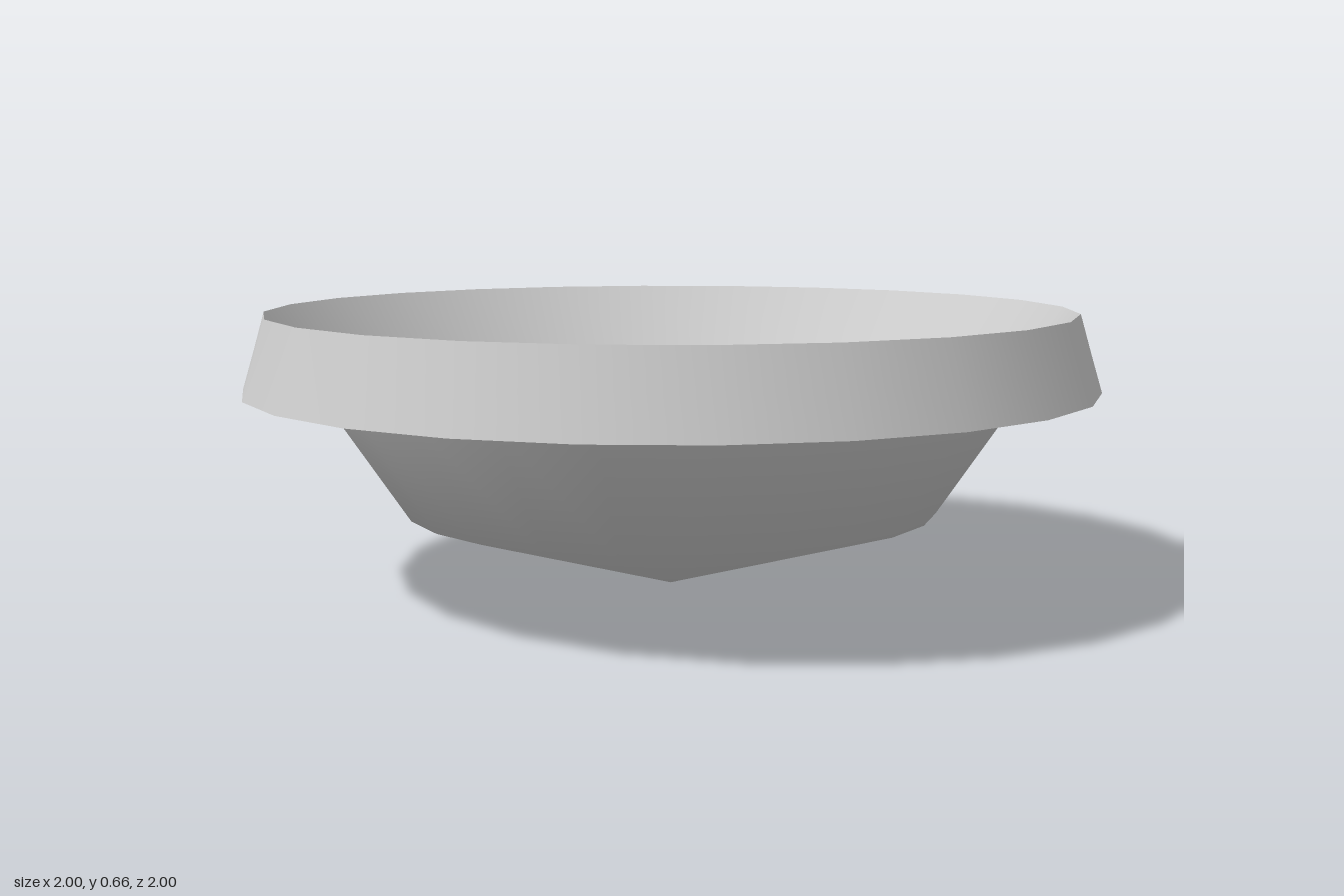
import * as THREE from 'three';

const SIDES = 24;

export function createModel() {
  const model = new THREE.Group();
  model.name = 'dish';
  const grey = new THREE.MeshStandardMaterial({ color: 0xcccccc });
  grey.name = 'light grey';

  // Each part is its own turned profile, so the edges between parts stay sharp
  const turn = (name, profile) => {
    const points = profile.map(([r, y]) => new THREE.Vector2(r, y));
    const mesh = new THREE.Mesh(new THREE.LatheGeometry(points, SIDES), grey);
    mesh.name = name;
    model.add(mesh);
  };

  // Underside: shallow cone opening into a steeper bowl
  turn('bowl', [[0, 0], [0.63, 0.19], [0.825, 0.48]]);
  // Flat underside of the overhanging rim
  turn('rimUnderside', [[0.825, 0.48], [1, 0.48]]);
  // Outer face of the rim, leaning inwards
  turn('rimOuter', [[1, 0.48], [0.973, 0.57], [0.947, 0.66]]);
  // Inner slope running down to the floor
  turn('rimInner', [[0.947, 0.66], [0.823, 0.48]]);
  // Flat floor of the dish
  turn('floor', [[0.823, 0.48], [0, 0.48]]);

  return model;
}
